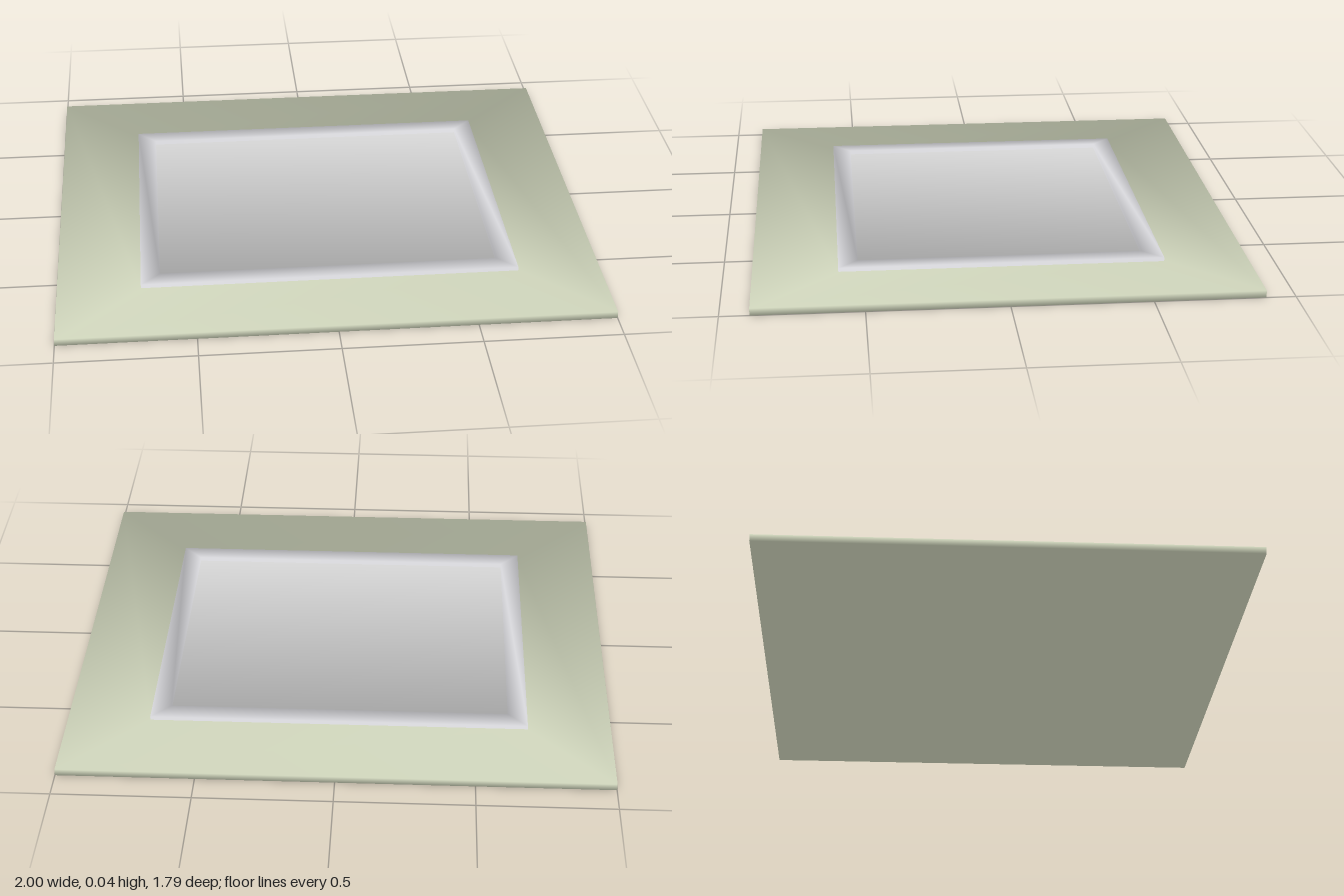
import * as THREE from 'three';

const material = (name, color) => {
  const m = new THREE.MeshStandardMaterial({ color });
  m.name = name;
  return m;
};

const CORNERS = [[-1, 1], [1, 1], [1, -1], [-1, -1]];

// Stacks rectangles [halfX, y, halfZ, outward, up] into a skin with soft corner normals.
// Listed from the bottom outside to the top inside; optional caps close either end.
function rectSkin(rings, { capStart = false, capEnd = false } = {}) {
  const positions = [], normals = [], index = [];
  for (const [hx, y, hz, out, up] of rings) {
    for (const [sx, sz] of CORNERS) {
      positions.push(sx * hx, y, sz * hz);
      const n = new THREE.Vector3(sx * out, up, sz * out).normalize();
      normals.push(n.x, n.y, n.z);
    }
  }
  for (let r = 0; r < rings.length - 1; r++) {
    for (let i = 0; i < 4; i++) {
      const a = r * 4 + i, b = r * 4 + (i + 1) % 4;
      index.push(a, b, b + 4, a, b + 4, a + 4);
    }
  }
  if (capStart) index.push(0, 2, 1, 0, 3, 2);
  if (capEnd) {
    const e = (rings.length - 1) * 4;
    index.push(e, e + 1, e + 2, e, e + 2, e + 3);
  }
  const g = new THREE.BufferGeometry();
  g.setAttribute('position', new THREE.Float32BufferAttribute(positions, 3));
  g.setAttribute('normal', new THREE.Float32BufferAttribute(normals, 3));
  g.setIndex(index);
  return g;
}

export function createModel() {
  const group = new THREE.Group();
  const green = material('pale green', 0xd3d9bf);
  const silver = material('light grey', 0xdcdce0);
  const grey = material('panel grey', 0xd9d9d9);

  const add = (name, geometry, mat) => {
    const mesh = new THREE.Mesh(geometry, mat);
    mesh.name = name;
    group.add(mesh);
  };

  const plateTop = 0.026, frameTop = 0.04, floorY = 0.024;

  // Wide base plate, open under the frame
  add('basePlate', rectSkin([
    [1, 0, 0.895, 1, -1],
    [1, plateTop, 0.895, 1, 1],
    [0.695, plateTop, 0.588, 1, 1],
  ], { capStart: true }), green);

  // Raised rim: outer wall, top and inner wall
  add('raisedFrame', rectSkin([
    [0.695, plateTop, 0.588, 1, 1],
    [0.695, frameTop, 0.588, 1, 1],
    [0.624, frameTop, 0.517, -1, 1],
    [0.624, floorY, 0.517, -1, 1],
  ]), silver);

  // Recessed panel inside the rim
  add('recessedPanel', rectSkin([
    [0.624, floorY, 0.517, -1, 1],
  ], { capEnd: true }), grey);

  return group;
}
